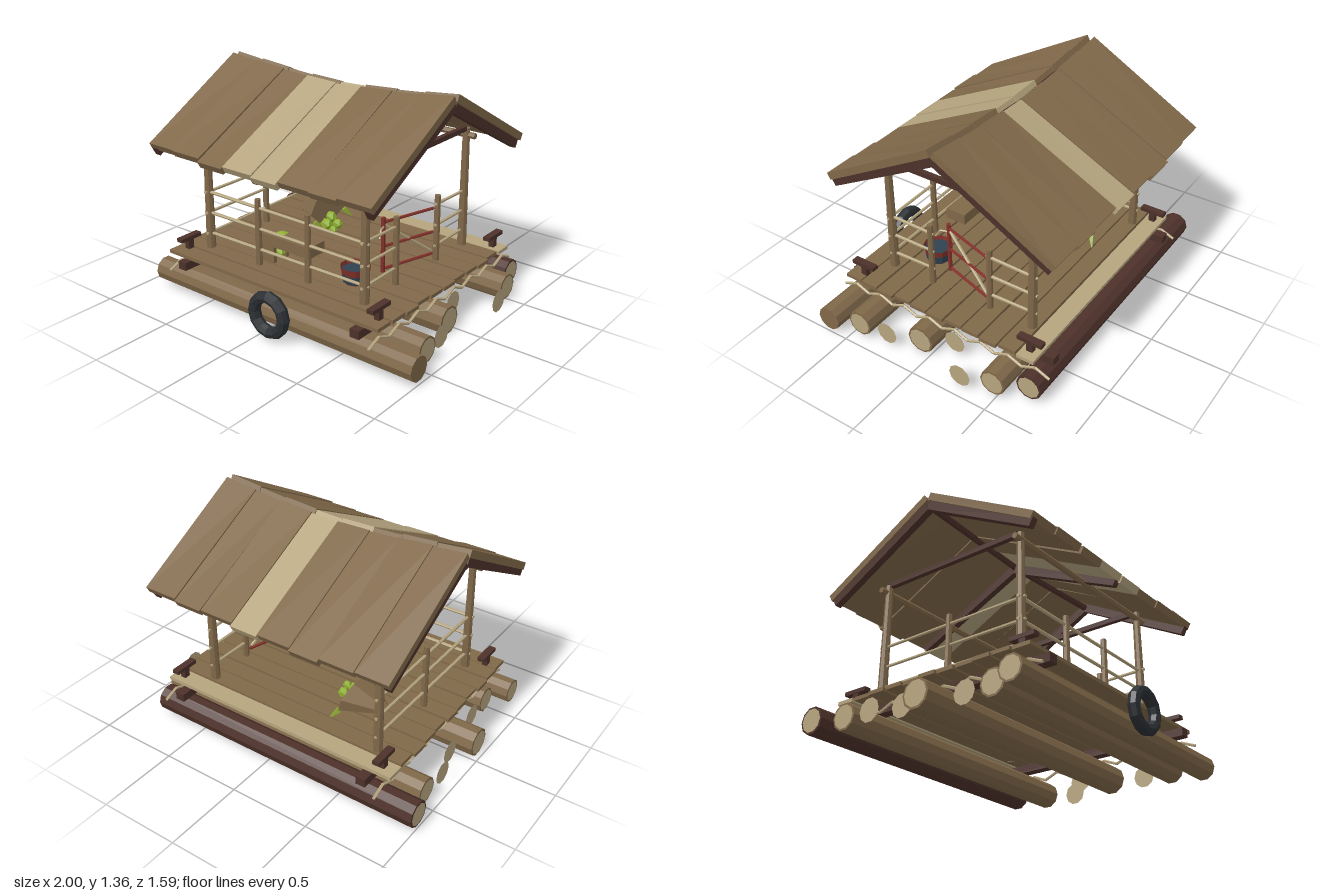
import * as THREE from 'three';

const paint = (name, color, extra = {}) => {
  const m = new THREE.MeshStandardMaterial({ color, flatShading: true, ...extra });
  m.name = name;
  return m;
};

export function createModel() {
  const root = new THREE.Group();
  root.name = 'raftHut';
  const brown = paint('brownWood', 0x806849);
  const tan = paint('paleWood', 0xb5a47e, { side: THREE.DoubleSide });
  const dark = paint('darkWood', 0x4d312a);
  const red = paint('redPaint', 0x84302a, { side: THREE.DoubleSide });
  const green = paint('greenFruit', 0x8fb030, { side: THREE.DoubleSide });
  const black = paint('rubber', 0x2b2f33);
  const water = paint('darkWater', 0x2f4250);

  const add = (name, geo, mat, x = 0, y = 0, z = 0) => {
    const mesh = new THREE.Mesh(geo, mat);
    mesh.name = name;
    mesh.position.set(x, y, z);
    root.add(mesh);
    return mesh;
  };
  const box = (name, mat, w, h, d, x, y, z) => add(name, new THREE.BoxGeometry(w, h, d), mat, x, y, z);
  // Round pole between two points
  const pole = (name, mat, a, b, r0, r1 = r0, sides = 6) => {
    const p = new THREE.Vector3(...a), q = new THREE.Vector3(...b);
    const dir = q.clone().sub(p);
    const mesh = add(name, new THREE.CylinderGeometry(r1, r0, dir.length(), sides), mat);
    mesh.position.copy(p).add(q).multiplyScalar(0.5);
    mesh.quaternion.setFromUnitVectors(new THREE.Vector3(0, 1, 0), dir.normalize());
    return mesh;
  };

  // Floating logs: [z, y, radius, x start, x end, has body, material]
  const logs = [
    [0.62, 0.105, 0.075, -0.91, 1.0, true, brown],
    [0.44, 0.108, 0.08, -0.82, 0.93, true, brown],
    [0.26, 0.1, 0.07, -0.82, 0.9, false, brown],
    [0.07, 0.092, 0.087, -0.97, 0.83, true, brown],
    [-0.11, 0.1, 0.07, -0.88, 0.74, false, brown],
    [-0.29, 0.1, 0.07, -0.935, 0.94, false, brown],
    [-0.475, 0.105, 0.08, -0.94, 0.89, true, brown],
    [-0.66, 0.108, 0.08, -1.0, 0.81, true, dark],
  ];
  logs.forEach(([z, y, r, x0, x1, body, mat], i) => {
    if (body) pole('log', mat, [x0, y, z], [x1, y, z], r, r, 10);
    for (const [x, s] of [[x0, -1], [x1, 1]]) {
      if (i === 0 && s > 0) continue;
      const cap = add('logEnd', new THREE.CircleGeometry(body ? r * 0.86 : r, 10), tan,
        x + (body ? s * 0.002 : 0), y, z);
      cap.rotation.y = s * Math.PI / 2;
    }
  });

  // Zigzag lashing over the logs
  for (const x of [-0.77, 0.74]) {
    const pts = [];
    for (let i = 0; i <= 16; i++) pts.push([x, i % 2 ? 0.198 : 0.16, 0.71 - i * 0.0912]);
    for (let i = 0; i < 16; i++) pole('lashing', tan, pts[i], pts[i + 1], 0.009, 0.009, 5);
  }

  // Cross beams and deck planks
  for (const x of [-0.67, 0.64]) box('crossBeam', dark, 0.06, 0.05, 1.43, x, 0.216, -0.015);
  for (let i = 0; i < 11; i++) {
    box('deckPlank', i === 10 ? tan : brown, 1.58 + (i % 3) * 0.015, 0.022, 0.111,
      -0.022, 0.262 + (i % 2) * 0.003, 0.61 - i * 0.122);
  }

  // Mooring cleats
  for (const x of [-0.737, 0.703]) for (const z of [0.57, -0.605]) {
    box('cleatPost', dark, 0.034, 0.07, 0.04, x, 0.302, z);
    box('cleatBar', dark, 0.044, 0.024, 0.158, x, 0.344, z);
  }

  // Corner posts, railing posts
  const L = -0.64, R = 0.54, F = 0.48, B = -0.51;
  for (const x of [L, R]) for (const z of [F, B]) {
    const top = z > 0 ? z - 0.006 : z + 0.006;
    pole('cornerPost', brown, [x, 0.25, z], [x, 1.03, top], 0.029, 0.022, 8);
  }
  for (const [x, z] of [[-0.237, F], [0.14, F], [R, 0.19], [R, -0.22], [L, -0.02]]) {
    pole('railPost', brown, [x, 0.25, z], [x, 0.69, z], 0.021, 0.018, 7);
  }

  // Railings on the front and both sides, open at the gate and the back
  const rails = [
    [[L - 0.03, F], [R + 0.03, F]],
    [[L, F + 0.03], [L, B - 0.03]],
    [[R, F + 0.03], [R, 0.17]],
    [[R, -0.2], [R, B - 0.03]],
  ];
  for (const [a, b] of rails) [0.375, 0.505, 0.634].forEach((y, i) => {
    const t = (i - 1) * 0.004;
    pole('rail', tan, [a[0], y + t, a[1]], [b[0], y - t, b[1]], 0.0105, 0.009);
  });

  // Red gate swung inwards, with brace and latch
  const hinge = [0.525, -0.2], free = [0.42, 0.15];
  for (const y of [0.32, 0.46, 0.61]) {
    pole('gateBar', red, [hinge[0], y, hinge[1]], [free[0], y, free[1]], 0.009);
  }
  pole('gateStile', red, [free[0], 0.3, free[1]], [free[0], 0.64, free[1]], 0.013);
  pole('gateBrace', tan, [0.42, 0.59, 0.14], [0.52, 0.34, -0.19], 0.01);
  pole('gateLatch', tan, [0.42, 0.585, 0.14], [0.44, 0.585, 0.2], 0.006);
  pole('gateLatch', tan, [0.44, 0.585, 0.2], [0.45, 0.54, 0.225], 0.006);

  // Roof frame: plates, ties, rafters, ridge pole
  for (const z of [F, B]) pole('wallPlate', brown, [L - 0.06, 0.985, z], [R + 0.06, 0.985, z], 0.019);
  for (const x of [L, R]) box('tieBeam', dark, 0.03, 0.03, 0.94, x, 1.03, -0.015);
  const mid = -0.02;
  const sag = x => 0.06 * Math.pow(Math.min(1, Math.abs(x + 0.05) / 0.81), 1.5);
  // Sloping board: its vertices follow the sagging ridge
  const slopeBoard = (name, mat, x0, x1, side, ridgeY, eaveY, zRidge, zEave, thick) => {
    const geo = new THREE.BoxGeometry(1, 1, 1);
    const p = geo.attributes.position;
    for (let i = 0; i < p.count; i++) {
      const x = x0 + (p.getX(i) + 0.5) * (x1 - x0);
      const t = side > 0 ? p.getZ(i) + 0.5 : 0.5 - p.getZ(i);
      const d = (0.5 - p.getY(i)) * thick;
      const y = (1 - t) * (ridgeY + sag(x)) + t * eaveY;
      p.setXYZ(i, x, y - d * 0.87, mid + side * (zRidge + t * (zEave - zRidge) - d * 0.49));
    }
    geo.computeVertexNormals();
    return add(name, geo, mat);
  };
  for (const x of [-0.83, -0.05, 0.73]) for (const s of [1, -1]) {
    slopeBoard('rafter', dark, x - 0.02, x + 0.02, s, 1.262, 0.935, 0.022, 0.735, 0.055);
  }
  pole('ridgePole', dark, [-0.84, 1.3, mid], [-0.05, 1.262, mid], 0.022);
  pole('ridgePole', dark, [-0.05, 1.262, mid], [0.75, 1.3, mid], 0.022);

  // Roof planks, slightly uneven, with a few pale replacements
  const edges = [-0.86, -0.655, -0.44, -0.255, -0.04, 0.14, 0.36, 0.545, 0.765];
  const eaves = [0.962, 0.962, 0.945, 0.955, 0.945, 0.957, 0.957, 0.968];
  const reach = [0.745, 0.755, 0.765, 0.755, 0.76, 0.745, 0.755, 0.75];
  for (let i = 0; i < 8; i++) for (const s of [1, -1]) {
    const pale = i === 4 || (i === 3 && s > 0);
    slopeBoard('roofPlank', pale ? tan : brown, edges[i] + 0.001, edges[i + 1] - 0.001, s,
      1.308 + (i % 2) * 0.006, eaves[i], 0.024, reach[i] + (s < 0 ? 0.012 : 0), 0.045);
  }

  // Tyre fender
  add('tyreFender', new THREE.TorusGeometry(0.109, 0.036, 8, 12), black, 0.085, 0.165, 0.757);

  // Bucket of water
  add('bucket', new THREE.CylinderGeometry(0.09, 0.07, 0.1, 10, 1, true), red, 0.34, 0.325, 0.3);
  add('bucketWater', new THREE.CylinderGeometry(0.084, 0.074, 0.07, 10), water, 0.34, 0.315, 0.3);

  // Sack lying on its side, open towards the left, with spilled fruit
  const sack = add('sack', new THREE.CylinderGeometry(0.1, 0.02, 0.22, 7), brown, -0.425, 0.36, -0.26);
  sack.geometry.rotateZ(-Math.PI / 2);
  sack.geometry.scale(1, 0.9, 1.75);
  sack.rotation.z = 0.18;
  [[-0.3, 0.315, -0.26, 0.045], [-0.25, 0.312, -0.16, 0.042], [-0.21, 0.305, -0.22, 0.036],
    [-0.18, 0.3, -0.14, 0.028]].forEach(([x, y, z, r]) => {
    add('fruit', new THREE.IcosahedronGeometry(r, 0), green, x, y, z);
  });
  for (const z of [-0.1, -0.4]) {
    pole('leaf', green, [-0.3, 0.33, z], [-0.26, 0.28, z - 0.03], 0.02, 0.004, 4);
  }

  // Low bench by the front railing
  box('benchSeat', brown, 0.42, 0.07, 0.14, -0.115, 0.415, 0.35);
  for (const z of [0.295, 0.405]) box('benchLeg', brown, 0.11, 0.11, 0.025, -0.235, 0.327, z);
  add('fruit', new THREE.IcosahedronGeometry(0.035, 0), green, -0.19, 0.32, 0.35);
  add('leaf', new THREE.ConeGeometry(0.04, 0.012, 5), green, -0.17, 0.455, 0.35);

  return root;
}
